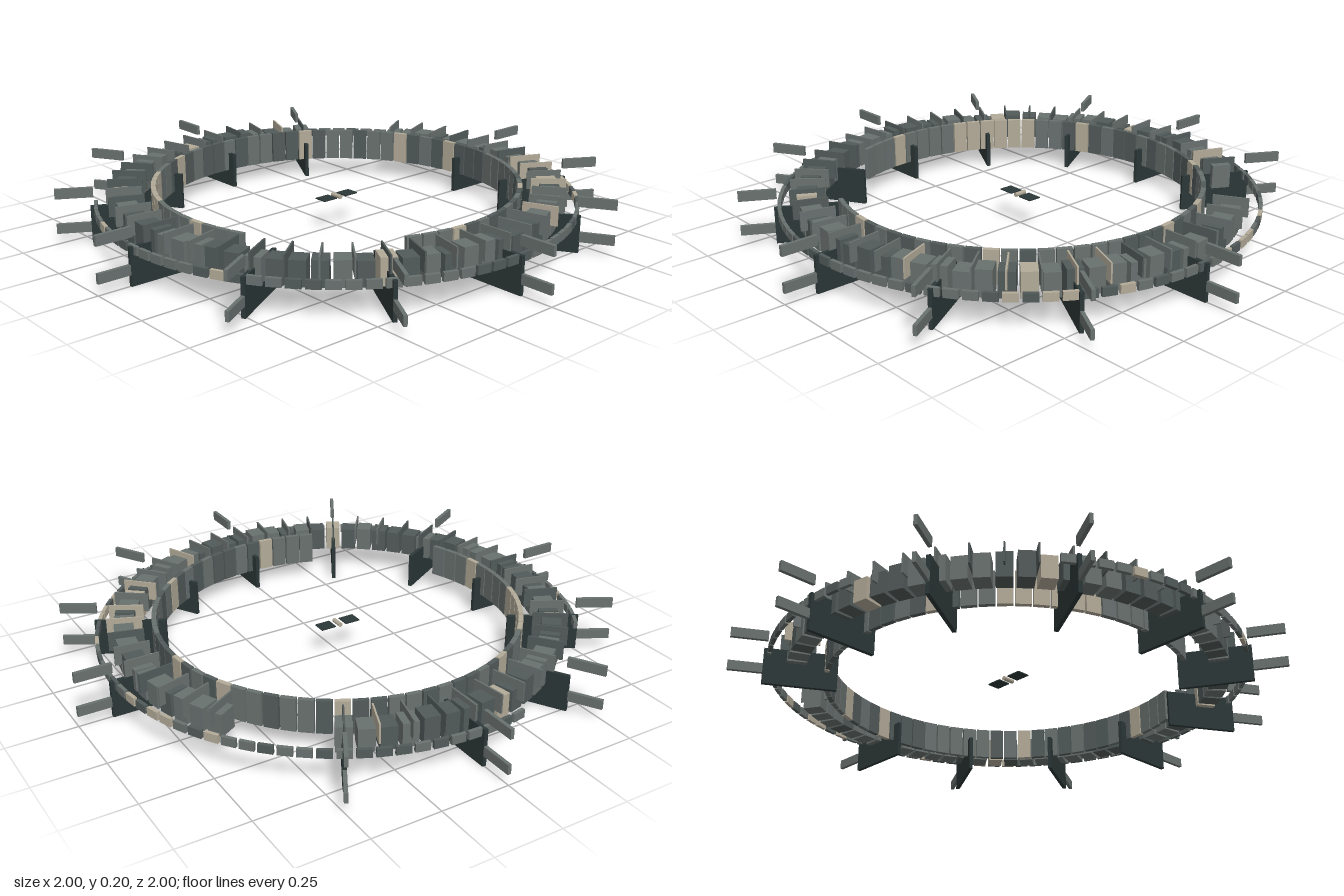
import * as THREE from 'three';

const steel = new THREE.MeshStandardMaterial({ color: 0x69716f });
const slate = new THREE.MeshStandardMaterial({ color: 0x525b5a });
const dark = new THREE.MeshStandardMaterial({ color: 0x2c3737 });
const tan = new THREE.MeshStandardMaterial({ color: 0xb3ab99 });

// small seeded generator for the mix of panel tones
let seed = 7;
const rand = () => (seed = (seed * 16807) % 2147483647) / 2147483647;
const tone = () => { const r = rand(); return r < 0.14 ? tan : r < 0.5 ? slate : steel; };

// box given by its radial, vertical and tangential extents, turned to angle a (degrees from +x towards +z)
function radialBox(name, a, r0, r1, y0, y1, width, material) {
  const geometry = new THREE.BoxGeometry(r1 - r0, y1 - y0, width);
  geometry.translate((r0 + r1) / 2, (y0 + y1) / 2, 0);
  const mesh = new THREE.Mesh(geometry, material);
  mesh.rotation.y = -THREE.MathUtils.degToRad(a);
  mesh.name = name;
  return mesh;
}

// ring of boxes with an open arc between gap[0] and gap[1] degrees
function ring(name, count, gap, make) {
  const group = new THREE.Group();
  group.name = name;
  for (let i = 0; i < count; i++) {
    const a = (i * 360) / count;
    if (a > gap[0] && a < gap[1]) continue;
    group.add(make(a));
  }
  return group;
}

export function createModel() {
  seed = 7;
  const model = new THREE.Group();
  model.name = 'ringStation';

  // main ring of habitat blocks
  model.add(ring('mainRing', 72, [303, 327], a =>
    radialBox('habitatBlock', a, 0.73, 0.8, 0.085, 0.165 + rand() * 0.015, 0.055, tone())));

  // thin fins standing across the main ring
  model.add(ring('fins', 48, [304, 326], a =>
    radialBox('fin', a, 0.7, 0.825, 0.125, 0.195, 0.006, tone())));

  // tall inner wall
  model.add(ring('innerWall', 72, [114, 156], a =>
    radialBox('wallPanel', a, 0.65, 0.667, 0.065, 0.185, 0.052, tone())));

  // slim outer chain
  model.add(ring('outerChain', 90, [215, 257], a =>
    radialBox('chainLink', a, 0.855, 0.868, 0.107, 0.137, 0.05, tone())));

  // radial bulkheads, each with an upper and a lower docking arm
  model.add(ring('bulkheads', 12, [329, 331], a => {
    const bulkhead = new THREE.Group();
    bulkhead.name = 'bulkhead';
    bulkhead.add(
      radialBox('plate', a, 0.62, 0.88, 0, 0.135, 0.014, dark),
      radialBox('upperArm', a, 0.868, 1, 0.167, 0.203, 0.013, steel),
      radialBox('lowerArm', a, 0.868, 1, 0.04, 0.075, 0.013, steel));
    return bulkhead;
  }));

  // small craft at the hub: body with two flat panels
  const craft = new THREE.Group();
  craft.name = 'hubCraft';
  const body = new THREE.Mesh(new THREE.CylinderGeometry(0.008, 0.008, 0.046, 10), tan);
  body.name = 'craftBody';
  body.rotation.x = Math.PI / 2;
  craft.add(body);
  for (const side of [-1, 1]) {
    const panel = new THREE.Mesh(new THREE.BoxGeometry(0.058, 0.004, 0.05), dark);
    panel.name = side > 0 ? 'leftPanel' : 'rightPanel';
    panel.position.x = side * 0.05;
    craft.add(panel);
  }
  craft.position.y = 0.115;
  model.add(craft);

  return model;
}
